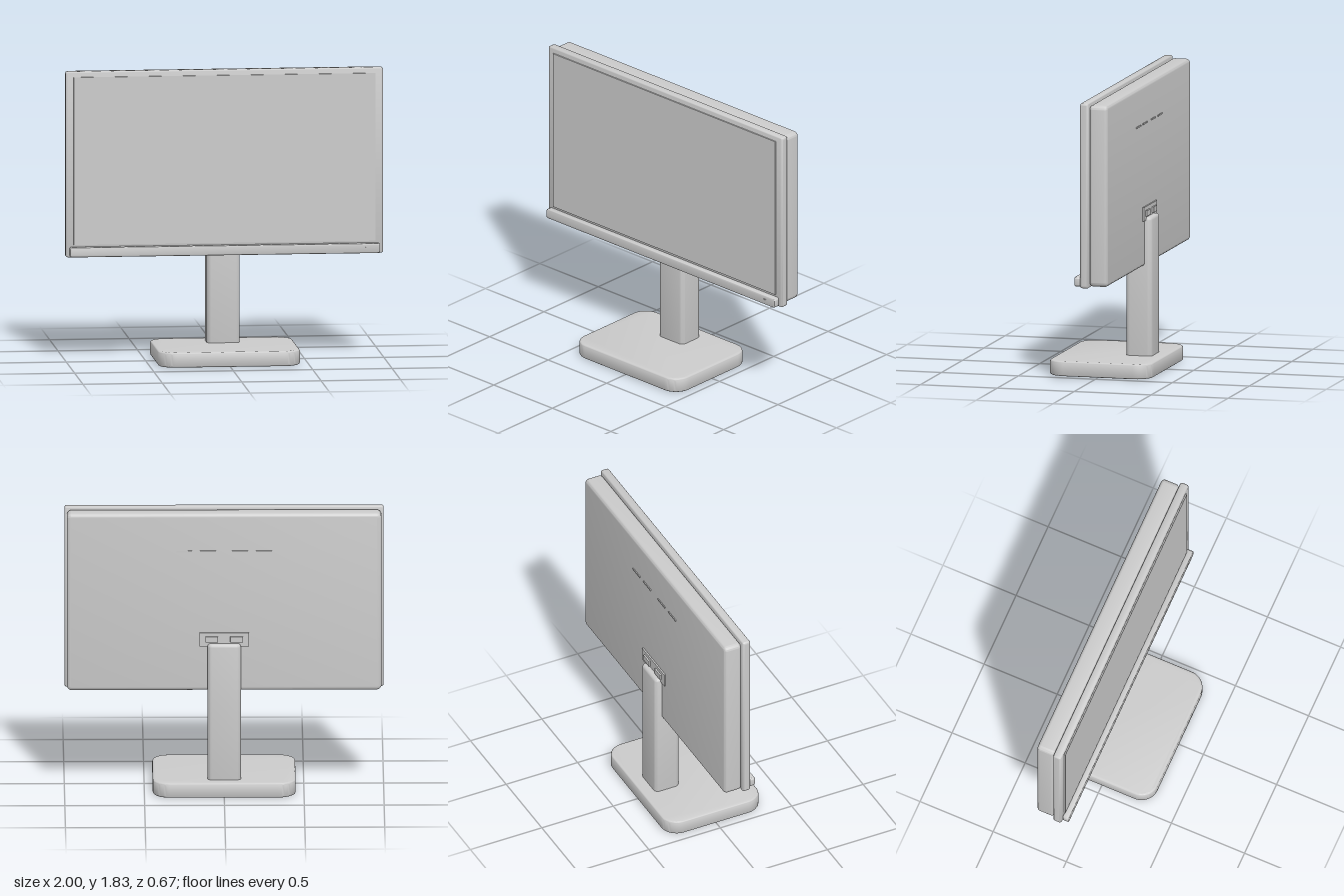
import * as THREE from 'three';
import { toCreasedNormals } from 'three/addons/utils/BufferGeometryUtils.js';

const material = new THREE.MeshStandardMaterial({ color: 0xcccccc });

// Rounded-rectangle slab, centred, w by h in its plane and d thick,
// with corner radius r and softened rim b
function slab(w, h, d, r, b) {
  const x = w / 2 - b, y = h / 2 - b, c = Math.max(r - b, 0.002);
  const s = new THREE.Shape();
  s.moveTo(-x + c, -y);
  s.lineTo(x - c, -y);
  s.absarc(x - c, -y + c, c, -Math.PI / 2, 0);
  s.lineTo(x, y - c);
  s.absarc(x - c, y - c, c, 0, Math.PI / 2);
  s.lineTo(-x + c, y);
  s.absarc(-x + c, y - c, c, Math.PI / 2, Math.PI);
  s.lineTo(-x, -y + c);
  s.absarc(-x + c, -y + c, c, Math.PI, Math.PI * 1.5);
  const g = new THREE.ExtrudeGeometry(s, {
    depth: d - 2 * b, bevelSize: b, bevelThickness: b, bevelSegments: 4, curveSegments: 8,
  });
  g.translate(0, 0, -(d - 2 * b) / 2);
  return toCreasedNormals(g, 0.6);
}

export function createModel() {
  const model = new THREE.Group();
  const add = (name, geometry, x, y, z, parent = model) => {
    const mesh = new THREE.Mesh(geometry, material);
    mesh.name = name;
    mesh.position.set(x, y, z);
    parent.add(mesh);
    return mesh;
  };

  // Foot and column
  add('base', slab(0.895, 0.67, 0.095, 0.11, 0.014).rotateX(-Math.PI / 2), 0, 0.0475, 0);
  add('standColumn', slab(0.208, 0.17, 0.905, 0.03, 0.02).rotateX(-Math.PI / 2), 0, 0.5225, -0.17);

  // Display body: rear housing, front bezel, screen
  add('rearHousing', slab(1.97, 1.15, 0.118, 0.03, 0.022), 0, 1.24, -0.151);
  add('frontBezel', slab(2, 1.175, 0.056, 0.016, 0.014), 0, 1.2425, -0.064);
  add('screen', new THREE.BoxGeometry(1.9, 1.06, 0.016), 0, 1.265, -0.036);

  // Lower bar with indicator lights
  add('lowerBar', slab(1.955, 0.063, 0.042, 0.016, 0.008), 0, 0.692, -0.015);
  for (const x of [0.888, 0.899]) {
    const light = new THREE.CylinderGeometry(0.004, 0.004, 0.008, 12).rotateX(Math.PI / 2);
    add('indicatorLight', light, x, 0.697, 0.007);
  }

  // Vent slots across the back
  for (const x of [-0.25, -0.1, 0.1, 0.25]) {
    add('ventSlot', new THREE.BoxGeometry(0.1, 0.009, 0.01), x, 1.572, -0.211);
  }

  // Connector panel above the column
  const panel = new THREE.Group();
  panel.name = 'connectorPanel';
  panel.position.set(0, 1.0, -0.213);
  model.add(panel);
  add('panelPlate', new THREE.BoxGeometry(0.31, 0.088, 0.014), 0, 0, 0, panel);
  for (const x of [-0.078, 0.078]) {
    add('port', new THREE.BoxGeometry(0.08, 0.036, 0.02), x, 0.002, -0.008, panel);
  }

  return model;
}
